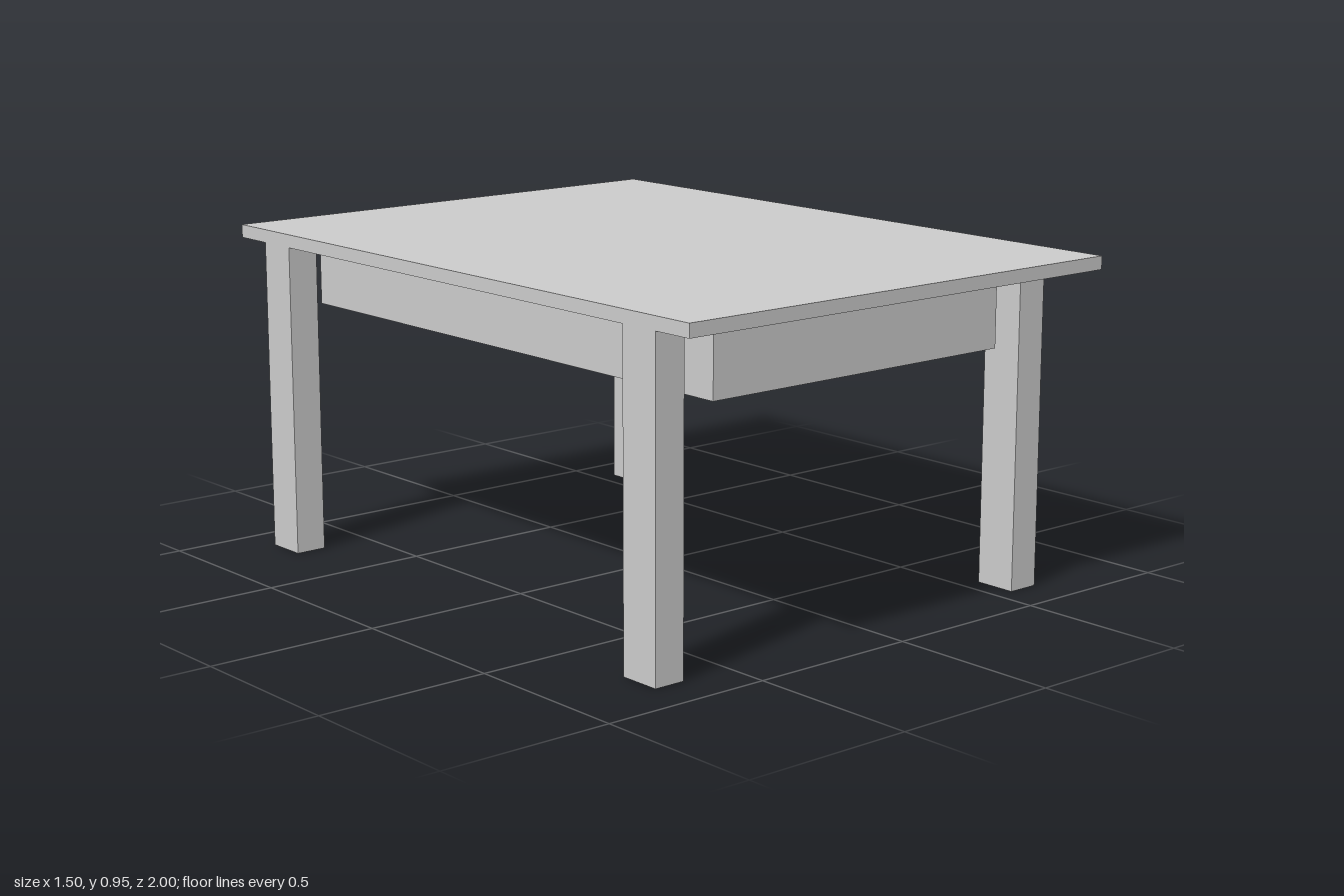
import * as THREE from 'three';

export function createModel() {
  const group = new THREE.Group();
  group.name = 'table';
  const material = new THREE.MeshStandardMaterial({ color: 0xcccccc, flatShading: true });

  // Box given by its lower and upper limits on each axis
  const box = (name, [x0, x1], [y0, y1], [z0, z1]) => {
    const mesh = new THREE.Mesh(new THREE.BoxGeometry(x1 - x0, y1 - y0, z1 - z0), material);
    mesh.position.set((x0 + x1) / 2, (y0 + y1) / 2, (z0 + z1) / 2);
    mesh.name = name;
    group.add(mesh);
  };

  const under = 0.91, trayY = 0.708;
  const xBack = -0.56, xOpen = 0.465;
  const zIn = 0.75, zOut = 0.875;

  box('tableTop', [-0.748, 0.748], [under, 0.948], [-1, 1]);

  // Legs and tray ends, mirrored front to back
  for (const [side, z] of [['front', [zIn, zOut]], ['back', [-zOut, -zIn]]]) {
    box(side + 'RightLeg', [-0.748, -0.655], [0, under], z);
    box(side + 'LeftLeg', [0.56, 0.655], [0, under], z);
    box(side + 'TrayEnd', [xBack, xOpen], [trayY, under], z);
  }

  // Long wall of the tray; the opposite side is open
  box('traySide', [xBack, xBack + 0.094], [trayY, under], [-zIn, zIn]);

  // Thin tray floor, sagging at the middle of its open edge
  const sag = [xOpen, 0.688, 0];
  const rim = [[xOpen, zOut], [xBack, zOut], [xBack, -zOut], [xOpen, -zOut]]
    .map(([x, z]) => [x, trayY, z]);
  const points = [];
  for (let i = 0; i < 3; i++) points.push(...sag, ...rim[i], ...rim[i + 1]);
  const floorGeometry = new THREE.BufferGeometry();
  floorGeometry.setAttribute('position', new THREE.Float32BufferAttribute(points, 3));
  floorGeometry.computeVertexNormals();
  const floorMaterial = material.clone();
  floorMaterial.side = THREE.DoubleSide;
  const floor = new THREE.Mesh(floorGeometry, floorMaterial);
  floor.name = 'trayFloor';
  group.add(floor);

  return group;
}
